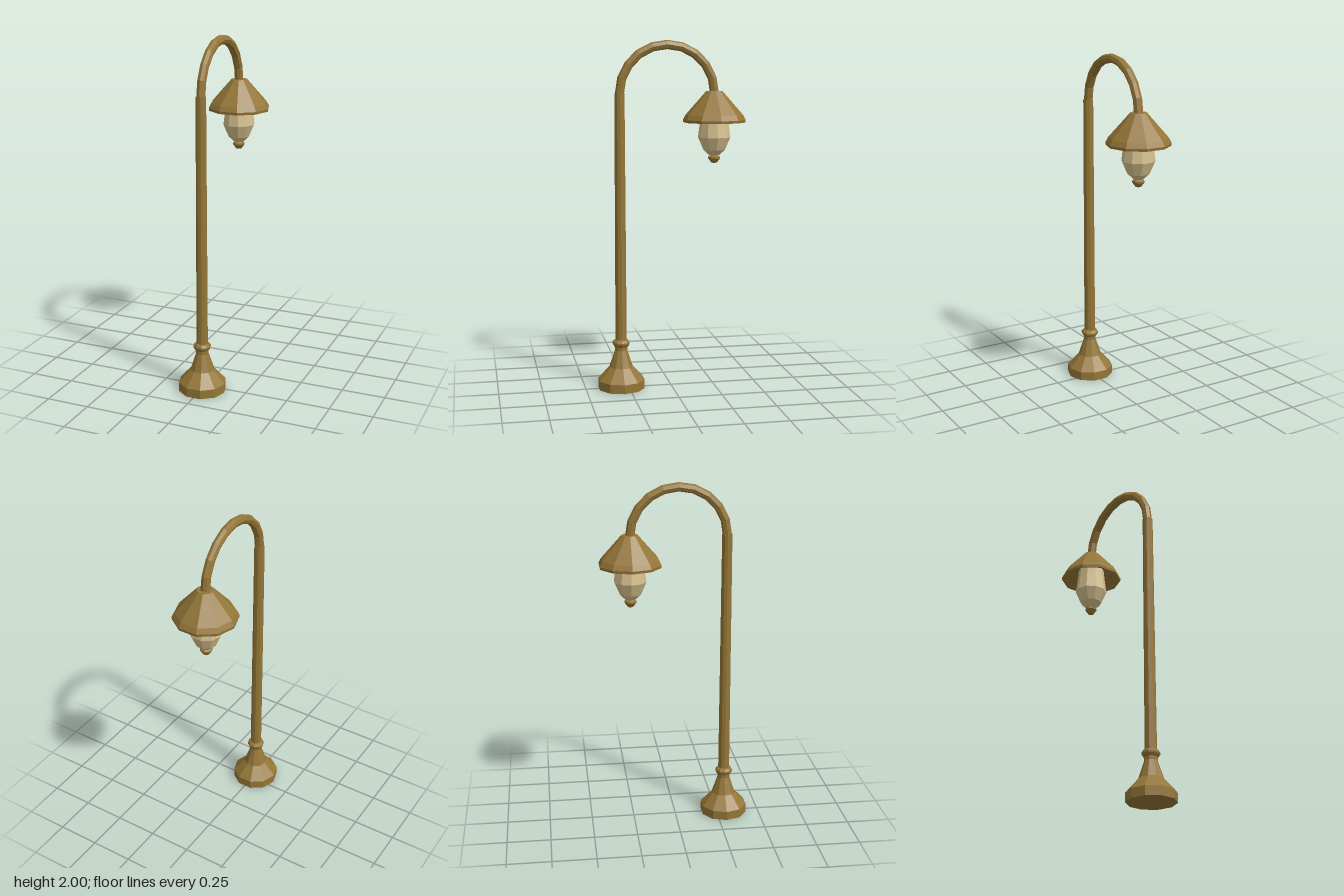
import * as THREE from 'three';

const SIDES = 10;
const POLE_Z = 0.293, LAMP_Z = -0.253;

// Half-circle arm in the yz plane, from the pole top to the lamp
class ArmCurve extends THREE.Curve {
  getPoint(t, target = new THREE.Vector3()) {
    const r = (POLE_Z - LAMP_Z) / 2, a = Math.PI * t;
    return target.set(0, 1.701 + r * Math.sin(a), (POLE_Z + LAMP_Z) / 2 + r * Math.cos(a));
  }
}

export function createModel() {
  const lamp = new THREE.Group();
  lamp.name = 'streetLamp';
  const brass = new THREE.MeshStandardMaterial({ color: 0x947637, flatShading: true });
  brass.name = 'brass';
  const glass = new THREE.MeshStandardMaterial({ color: 0xd6c08e, flatShading: true });
  glass.name = 'warm glass';

  const add = (name, geometry, material, z = 0) => {
    const faceted = geometry.toNonIndexed();
    faceted.computeVertexNormals();
    const mesh = new THREE.Mesh(faceted, material);
    mesh.name = name;
    mesh.position.z = z;
    lamp.add(mesh);
  };
  // Ten-sided turned part, profile given as [radius, height] from bottom to top
  const turned = (name, profile, material, z) => add(name, new THREE.LatheGeometry(
    profile.map(([r, y]) => new THREE.Vector2(r, y)), SIDES, Math.PI / SIDES), material, z);

  // Post
  turned('base', [[0, 0], [0.137, 0], [0.137, 0.052], [0.069, 0.127], [0.036, 0.225], [0.036, 0.25], [0, 0.25]], brass, POLE_Z);
  turned('collar', [[0.03, 0.243], [0.042, 0.248], [0.05, 0.262], [0.05, 0.272], [0.042, 0.284], [0.03, 0.288]], brass, POLE_Z);
  turned('pole', [[0.033, 0.24], [0.029, 1.705], [0, 1.705]], brass, POLE_Z);
  add('arm', new THREE.TubeGeometry(new ArmCurve(), 10, 0.026, 8), brass);

  // Lamp head: hollow shade, glass and finial
  turned('shade', [[0, 1.61], [0.085, 1.6], [0.15, 1.555], [0.168, 1.535], [0.178, 1.535],
    [0.18, 1.55], [0.165, 1.578], [0.046, 1.713], [0, 1.713]], brass, LAMP_Z);
  turned('glass', [[0, 1.348], [0.03, 1.348], [0.062, 1.378], [0.093, 1.45], [0.082, 1.54], [0.075, 1.61]], glass, LAMP_Z);
  turned('finial', [[0, 1.304], [0.016, 1.304], [0.034, 1.328], [0.034, 1.338], [0.02, 1.348], [0.03, 1.358], [0, 1.358]], brass, LAMP_Z);

  return lamp;
}
